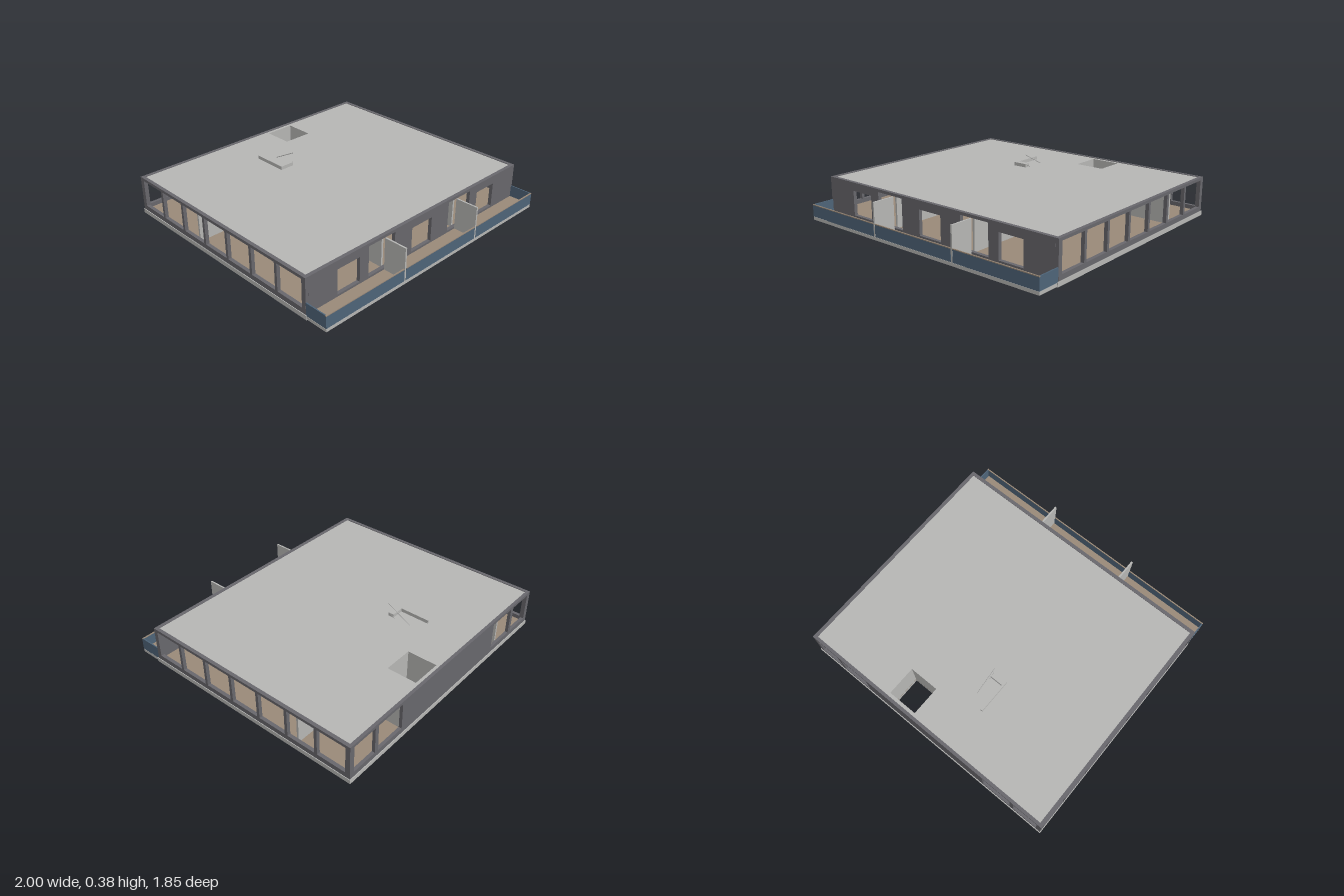
import * as THREE from 'three';

export function createModel() {
  const root = new THREE.Group();
  const mat = (name, color) => {
    const m = new THREE.MeshStandardMaterial({ color });
    m.name = name;
    return m;
  };
  const grey = mat('light concrete', 0xb6b6b4);
  const dark = mat('dark facade', 0x68676c);
  const blue = mat('blue parapet', 0x4e6478);
  const tan = mat('tan flooring', 0x998978);

  const add = (name, geo, m) => {
    const mesh = new THREE.Mesh(geo, m);
    mesh.name = name;
    root.add(mesh);
    return mesh;
  };
  // box given by its minimum and maximum on each axis
  const box = (name, m, x0, x1, y0, y1, z0, z1) =>
    add(name, new THREE.BoxGeometry(x1 - x0, y1 - y0, z1 - z0), m)
      .position.set((x0 + x1) / 2, (y0 + y1) / 2, (z0 + z1) / 2);
  const rect = (Type, [a, b, c, d]) => {
    const p = new Type();
    p.moveTo(a, c);
    p.lineTo(b, c);
    p.lineTo(b, d);
    p.lineTo(a, d);
    p.closePath();
    return p;
  };
  // rectangular plate with rectangular holes, each [u0, u1, v0, v1]
  const plate = (outline, holes, depth) => {
    const s = rect(THREE.Shape, outline);
    holes.forEach(h => s.holes.push(rect(THREE.Path, h)));
    return new THREE.ExtrudeGeometry(s, { depth, bevelEnabled: false });
  };
  const wallX = (name, m, z, t, outline, holes = []) =>
    add(name, plate(outline, holes, t).translate(0, 0, -t / 2), m).position.z = z;
  const wallZ = (name, m, x, t, outline, holes = []) => {
    const w = add(name, plate(outline, holes, t).translate(0, 0, -t / 2), m);
    w.rotation.y = -Math.PI / 2;
    w.position.x = x;
  };
  const deck = (name, m, top, t, outline, holes = []) => {
    const d = add(name, plate(outline, holes, t), m);
    d.rotation.x = Math.PI / 2;
    d.position.y = top;
  };

  // floor, ceiling and the openings through them
  const shaft = [0.105, 0.322, -0.875, -0.662];
  const stairwell = [-0.335, -0.15, -0.86, -0.32];
  deck('floorSlab', grey, 0.03, 0.03, [-1, 1, -0.925, 0.77], [shaft, stairwell]);
  deck('floorFinish', tan, 0.036, 0.006, [-0.975, 0.975, -0.9, 0.735], [shaft, stairwell]);
  deck('ceiling', grey, 0.276, 0.014, [-0.972, 0.972, -0.905, 0.738], [shaft]);

  // shaft lining
  const [sx0, sx1, sz0, sz1] = shaft;
  const lin = 0.01;
  box('shaftWall', grey, sx0 - lin, sx0, 0.03, 0.27, sz0 - lin, sz1 + lin);
  box('shaftWall', grey, sx1, sx1 + lin, 0.03, 0.27, sz0 - lin, sz1 + lin);
  box('shaftWall', grey, sx0, sx1, 0.03, 0.27, sz0 - lin, sz0);
  box('shaftWall', grey, sx0, sx1, 0.03, 0.27, sz1, sz1 + lin);

  // side facades with seven windows each
  const sideWindows = [];
  for (let i = 0; i < 7; i++) {
    const z = -0.885 + i * 0.2335;
    sideWindows.push([z, z + 0.212, 0.065, 0.26]);
  }
  for (const s of [-1, 1]) {
    wallZ('sideFacade', dark, s * 0.983, 0.025, [-0.92, 0.76, 0.03, 0.28], sideWindows);
  }

  // front and back facades
  wallX('frontFacade', dark, 0.748, 0.025, [-0.971, 0.971, 0.03, 0.28], [
    [-0.75, -0.565, 0.045, 0.22], [-0.49, -0.26, 0.045, 0.26], [-0.1, 0.09, 0.045, 0.22],
    [0.26, 0.485, 0.045, 0.26], [0.565, 0.75, 0.045, 0.22]]);
  wallX('backFacade', dark, -0.909, 0.022, [-0.971, 0.971, 0.03, 0.28], [
    [-0.96, -0.77, 0.065, 0.26], [-0.74, -0.51, 0.065, 0.26],
    [0.51, 0.74, 0.065, 0.26], [0.77, 0.96, 0.065, 0.26]]);

  // inner partitions with doorways
  const y0 = 0.03, y1 = 0.263, t = 0.014;
  for (const s of [-1, 1]) {
    wallZ('longPartition', grey, s * 0.345, t, [-0.898, 0.735, y0, y1],
      [[-0.24, -0.16, 0.04, 0.2]]);
  }
  wallX('corridorPartition', grey, 0.01, t, [-0.338, 0.338, y0, y1], [[-0.092, 0.085, 0.04, 0.215]]);
  wallX('rightPartition', grey, -0.29, t, [-0.97, -0.352, y0, y1]);
  wallZ('rightRoomPartition', grey, -0.6, t, [-0.898, -0.297, y0, y1]);
  wallX('leftPartition', grey, -0.5, t, [0.352, 0.97, y0, y1]);
  wallZ('leftRoomPartition', grey, 0.48, t, [-0.898, -0.507, y0, y1], [[-0.57, -0.52, 0.04, 0.2]]);

  // stair flight, kerb and handrail at its head
  const steps = 12;
  for (let i = 0; i < steps; i++) {
    const z = -0.66 + i * 0.027, y = 0.036 + i * 0.0185;
    box('stairStep', grey, -0.23, -0.12, Math.max(0.002, y - 0.03), y + 0.0185, z, z + 0.03);
  }
  box('roofKerbLong', grey, -0.232, -0.218, 0.27, 0.301, -0.585, -0.33);
  box('roofKerbShort', grey, -0.218, -0.125, 0.27, 0.301, -0.37, -0.33);
  const rail = (name, a, b) => add(name, new THREE.TubeGeometry(
    new THREE.LineCurve3(new THREE.Vector3(...a), new THREE.Vector3(...b)), 1, 0.003, 6), grey);
  rail('handrail', [-0.125, 0.375, -0.325], [-0.125, 0.276, -0.51]);
  rail('handrailStrut', [-0.125, 0.3, -0.335], [-0.125, 0.276, -0.38]);

  // balcony deck, parapet in three bays and dividers between them
  box('balconySlab', grey, -0.995, 0.995, 0.003, 0.025, 0.77, 0.925);
  box('balconyFloor', tan, -0.99, 0.99, 0.025, 0.031, 0.761, 0.918);
  const bays = [[-0.995, -0.352], [-0.338, 0.338], [0.352, 0.995]];
  for (const [a, b] of bays) {
    box('balconyParapet', blue, a, b, 0.026, 0.108, 0.917, 0.925);
    box('parapetCoping', tan, a, b, 0.108, 0.114, 0.917, 0.925);
  }
  for (const s of [-1, 1]) {
    const x = s * 0.991;
    box('parapetEnd', blue, x - 0.004, x + 0.004, 0.026, 0.114, 0.76, 0.917);
    box('balconyDivider', grey, s * 0.345 - 0.006, s * 0.345 + 0.006, 0.026, 0.257, 0.76, 0.925);
  }
  return root;
}
